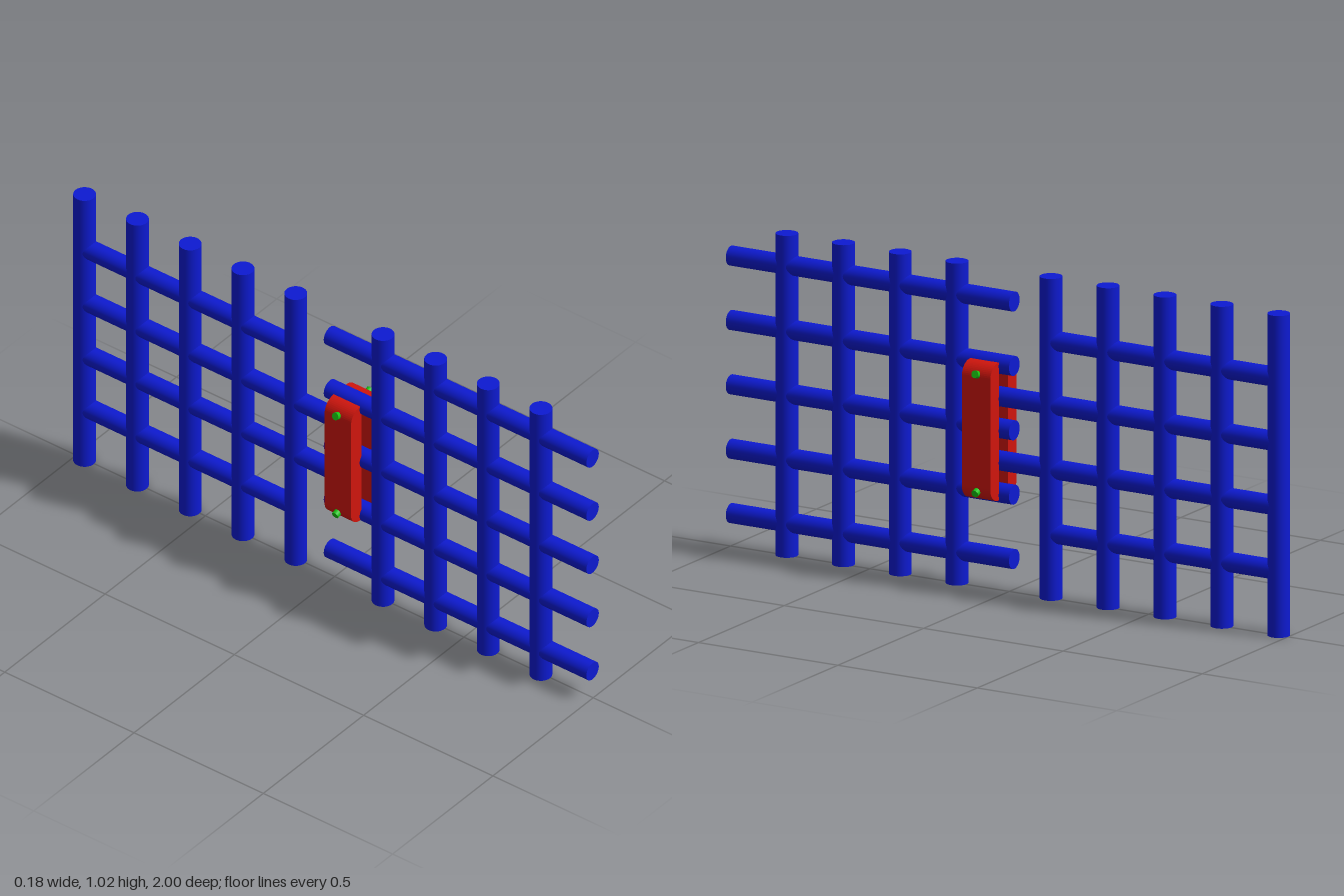
import * as THREE from 'three';

const BLUE = new THREE.MeshStandardMaterial({ color: 0x0d1ad2 });
const RED = new THREE.MeshStandardMaterial({ color: 0xd0150d });
const GREEN = new THREE.MeshStandardMaterial({ color: 0x18c010 });

const H = 1.02;        // height of the posts
const AXIS_X = -0.003; // plane of the lattice
const POST_R = 0.035;
const RAIL_R = 0.031;

function post(name, z) {
  const m = new THREE.Mesh(new THREE.CylinderGeometry(POST_R, POST_R, H, 32), BLUE);
  m.name = name;
  m.position.set(AXIS_X, H / 2, z);
  return m;
}

function rail(name, y, zFront, zBack) {
  const m = new THREE.Mesh(new THREE.CylinderGeometry(RAIL_R, RAIL_R, zFront - zBack, 32), BLUE);
  m.name = name;
  m.rotation.x = Math.PI / 2;
  m.position.set(AXIS_X, y, (zFront + zBack) / 2);
  return m;
}

// One clamp plate: flat inside, rounded outer corners
function clampPlate(side) {
  const inner = 0.025, outer = 0.077, y0 = 0.292, y1 = 0.728, r = 0.045;
  const s = new THREE.Shape();
  s.moveTo(inner, y0);
  s.lineTo(outer - r, y0);
  s.absarc(outer - r, y0 + r, r, -Math.PI / 2, 0, false);
  s.absarc(outer - r, y1 - r, r, 0, Math.PI / 2, false);
  s.lineTo(inner, y1);
  s.closePath();
  const geo = new THREE.ExtrudeGeometry(s, { depth: 0.102, bevelEnabled: false, curveSegments: 6 });
  geo.translate(0, 0, -0.051);
  const m = new THREE.Mesh(geo, RED);
  m.name = 'clampPlate';
  // a half turn about y gives the opposite plate
  if (side < 0) m.rotation.y = Math.PI;
  m.position.z = 0.072;
  return m;
}

// Small bolt set square to the rounded corner of a plate
function bolt(side, up) {
  const m = new THREE.Mesh(new THREE.CylinderGeometry(0.012, 0.012, 0.036, 20), GREEN);
  m.name = 'clampBolt';
  const dir = new THREE.Vector3(side * Math.cos(0.33), up * Math.sin(0.33), 0);
  m.quaternion.setFromUnitVectors(new THREE.Vector3(0, 1, 0), dir);
  m.position.set(side * 0.071, 0.509 + up * 0.184, 0.07);
  return m;
}

export function createModel() {
  const model = new THREE.Group();
  model.name = 'clampedLattice';

  // Front panel: four posts, five rails
  const front = new THREE.Group();
  front.name = 'frontPanel';
  for (let i = 0; i < 4; i++) front.add(post('frontPost', 0.8 - i * 0.2035));
  for (let i = 0; i < 5; i++) front.add(rail('frontRail', 0.104 + i * 0.204, 1, -0.016));

  // Back panel: five posts, four rails; the middle two reach into the clamp
  const back = new THREE.Group();
  back.name = 'backPanel';
  for (let i = 0; i < 5; i++) back.add(post('backPost', -0.148 - i * 0.2042));
  for (let i = 0; i < 4; i++) {
    const reaches = i === 1 || i === 2;
    back.add(rail('backRail', 0.206 + i * 0.2035, reaches ? 0.08 : -0.148, -0.965));
  }

  // Clamp joining the panels
  const clamp = new THREE.Group();
  clamp.name = 'clamp';
  for (const side of [1, -1]) {
    clamp.add(clampPlate(side));
    for (const up of [1, -1]) clamp.add(bolt(side, up));
  }

  model.add(front, back, clamp);
  return model;
}
